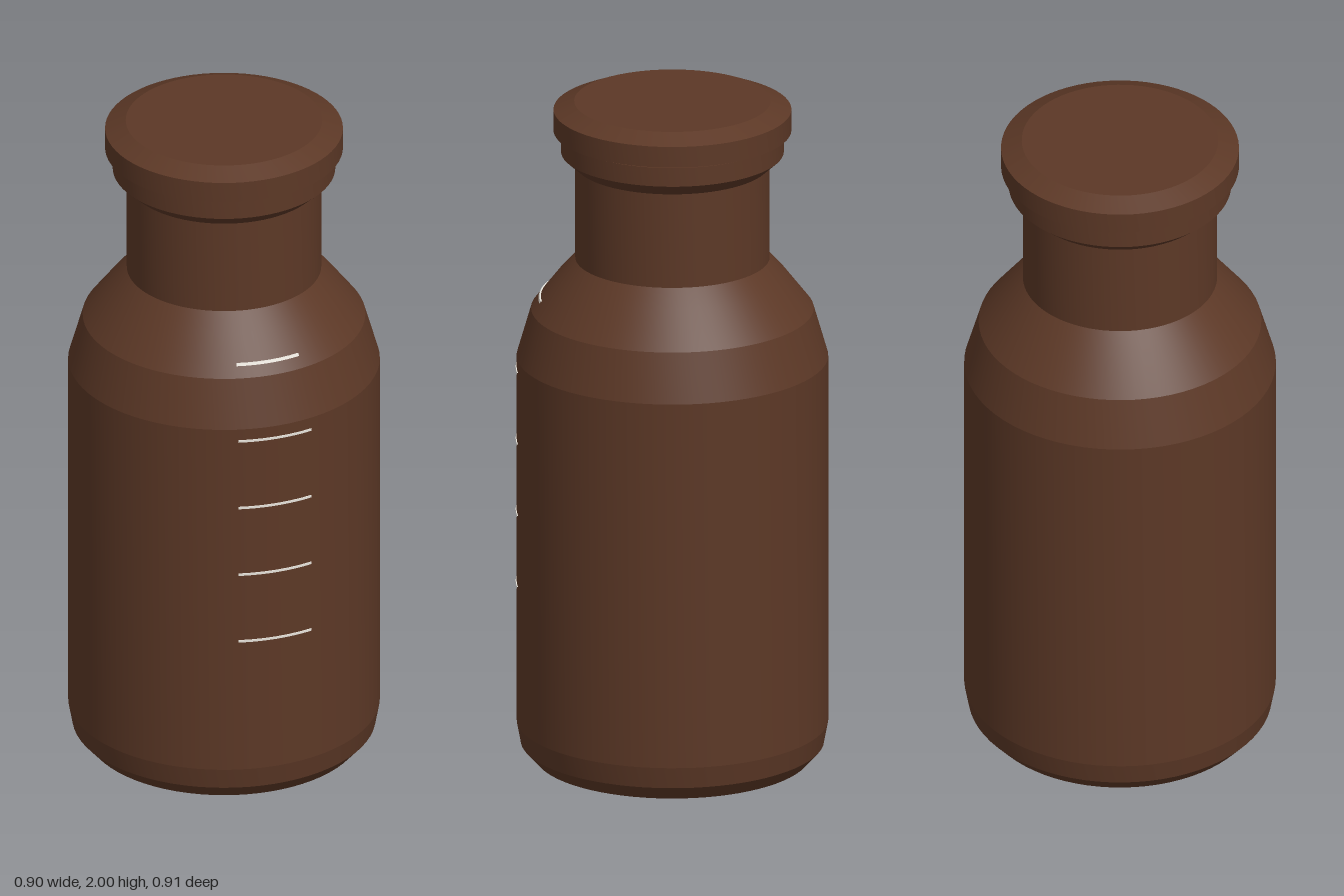
import * as THREE from 'three';
import { toCreasedNormals } from 'three/addons/utils/BufferGeometryUtils.js';

const glass = new THREE.MeshStandardMaterial({ color: 0x5c3826 });
const paint = new THREE.MeshStandardMaterial({ color: 0xe8e4dc });

// Revolved part: smooth around the axis, crisp between the profile bands
function turned(name, profile, material, start = 0, sweep = Math.PI * 2, segments = 72) {
  const points = profile.map(([r, y]) => new THREE.Vector2(r, y));
  const geometry = new THREE.LatheGeometry(points, segments, start, sweep);
  const mesh = new THREE.Mesh(toCreasedNormals(geometry, 0.15), material);
  mesh.name = name;
  return mesh;
}

export function createModel() {
  const model = new THREE.Group();
  model.name = 'bottle';

  // Body, shoulder, neck and flared lip
  model.add(turned('bottleBody', [
    [0, 0], [0.4, 0], [0.44, 0.045], [0.452, 0.11],
    [0.452, 1.222], [0.41, 1.367], [0.33, 1.47], [0.282, 1.522],
    [0.282, 1.808], [0.323, 1.845], [0.323, 1.902], [0.25, 1.902],
  ], glass));

  // Stopper plug, seen in the thin gap under the cap
  model.add(turned('stopperPlug', [[0, 1.78], [0.25, 1.78], [0.25, 1.912]], glass));

  // Cap with bevelled top edge
  model.add(turned('cap', [
    [0, 1.911], [0.345, 1.911], [0.345, 1.974], [0.285, 2], [0, 2],
  ], glass));

  // Graduation marks: thin arcs hugging the front
  const marks = new THREE.Group();
  marks.name = 'graduationMarks';
  const half = 0.25, h = 0.0035;
  [0.53, 0.748, 0.966, 1.184].forEach((y) => {
    marks.add(turned('mark', [
      [0.45, y - h], [0.4545, y - h], [0.4545, y + h], [0.45, y + h],
    ], paint, -half, half * 2, 16));
  });
  // The top mark lies on the sloping shoulder
  marks.add(turned('shoulderMark', [
    [0.386, 1.4 - h], [0.389, 1.4 - h], [0.386, 1.4 + h], [0.38, 1.4 + h],
  ], paint, -half, half * 2, 16));
  model.add(marks);

  return model;
}
